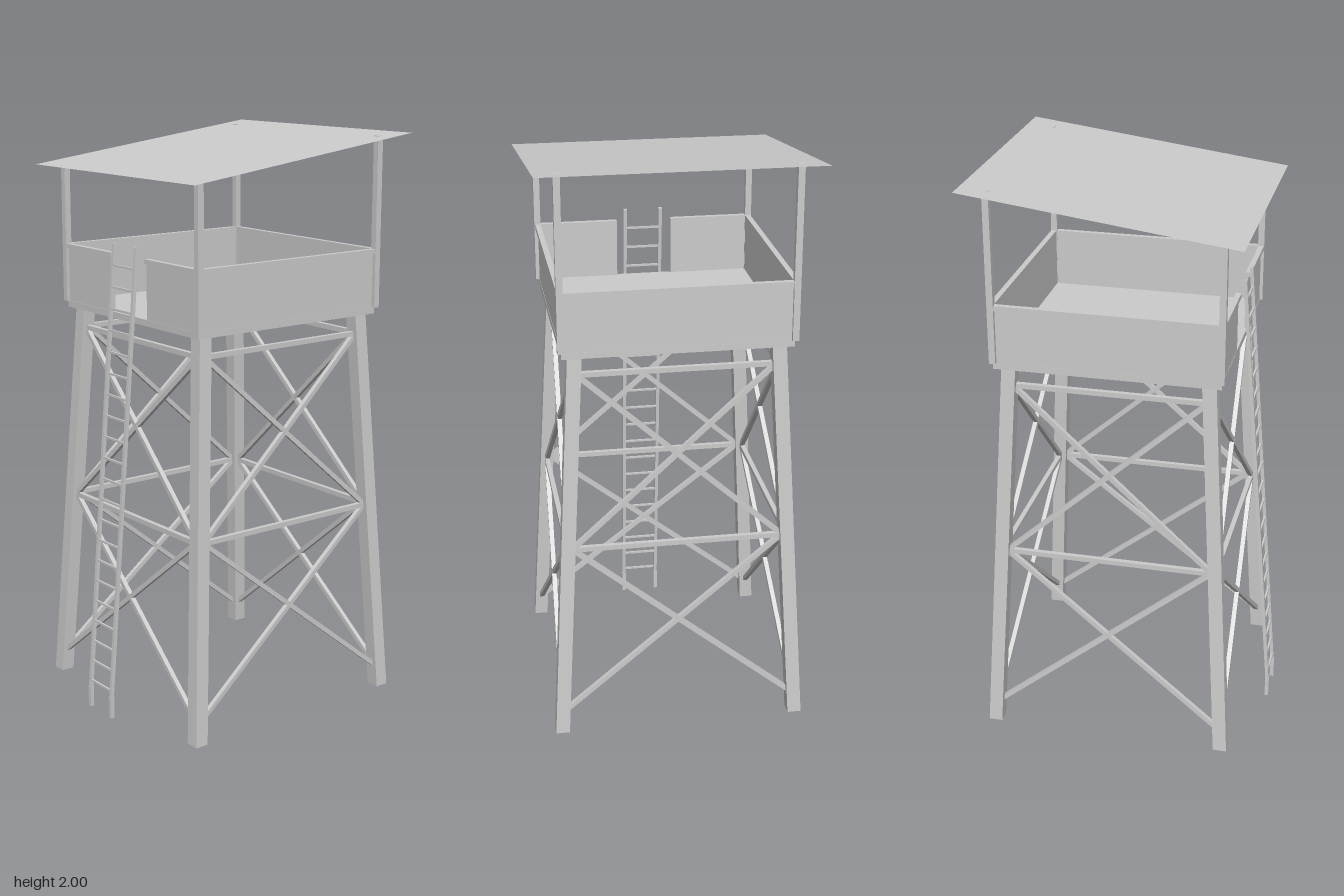
import * as THREE from 'three';

export function createModel() {
  const model = new THREE.Group();
  model.name = 'watchtower';
  const steel = new THREE.MeshStandardMaterial({ color: 0xcccccc });
  steel.name = 'pale grey';
  const roofSteel = steel.clone();
  roofSteel.side = THREE.DoubleSide;

  const group = (name, parent = model) => {
    const g = new THREE.Group();
    g.name = name;
    parent.add(g);
    return g;
  };
  // Axis-aligned box given by its lower and upper corners
  const box = (name, parent, a, b) => {
    const m = new THREE.Mesh(new THREE.BoxGeometry(b[0] - a[0], b[1] - a[1], b[2] - a[2]), steel);
    m.position.set((a[0] + b[0]) / 2, (a[1] + b[1]) / 2, (a[2] + b[2]) / 2);
    m.name = name;
    parent.add(m);
    return m;
  };
  // Square bar between two points
  const bar = (name, parent, a, b, size) => {
    const from = new THREE.Vector3(...a), to = new THREE.Vector3(...b);
    const m = new THREE.Mesh(new THREE.BoxGeometry(size, size, from.distanceTo(to)), steel);
    m.position.copy(from).add(to).multiplyScalar(0.5);
    m.lookAt(to);
    m.name = name;
    parent.add(m);
    return m;
  };

  // The tower stands slightly behind the origin, leaving room for the ladder
  const tower = group('tower');
  tower.position.z = -0.035;
  const legTop = 1.38;
  const legAt = y => 0.415 - y * (0.077 / legTop);

  // Legs: open square tubes leaning inwards, with level ends
  const legs = group('legs', tower);
  for (const sx of [-1, 1]) for (const sz of [-1, 1]) {
    const geo = new THREE.CylinderGeometry(0.024 * Math.SQRT2, 0.024 * Math.SQRT2, legTop, 4, 1, true).toNonIndexed();
    geo.rotateY(Math.PI / 4).translate(0, legTop / 2, 0);
    const p = geo.attributes.position;
    for (let i = 0; i < p.count; i++) {
      const c = legAt(p.getY(i));
      p.setX(i, p.getX(i) + sx * c);
      p.setZ(i, p.getZ(i) + sz * c);
    }
    geo.computeVertexNormals();
    const leg = new THREE.Mesh(geo, steel);
    leg.name = 'leg';
    legs.add(leg);
  }

  // Bracing: two horizontals and two crosses on each of the four sides
  for (let side = 0; side < 4; side++) {
    const braces = group('bracing', tower);
    braces.rotation.y = side * Math.PI / 2;
    const at = (s, y) => [s * (legAt(y) - 0.015), y, legAt(y)];
    for (const y of [0.69, 1.31]) bar('horizontalBrace', braces, at(-1, y), at(1, y), 0.017);
    for (const [low, high] of [[0.08, 0.69], [0.69, 1.305]]) {
      for (const s of [-1, 1]) bar('crossBrace', braces, at(s, low), at(-s, high), 0.016);
    }
  }

  // Platform deck
  const platform = group('platform', tower);
  box('deck', platform, [-0.383, 1.38, -0.383], [0.383, 1.402, 0.383]);

  // Parapet panels with top rails; the front one leaves a gap for the ladder
  for (let side = 0; side < 4; side++) {
    const wall = group('parapet', platform);
    wall.rotation.y = side * Math.PI / 2;
    const spans = side === 0 ? [[-0.374, -0.098], [0.098, 0.374]] : [[-0.374, 0.374]];
    for (const [x0, x1] of spans) {
      box('wallPanel', wall, [x0, 1.402, 0.374], [x1, 1.59, 0.382]);
      box('topRail', wall, [x0, 1.59, 0.373], [x1, 1.606, 0.392]);
    }
  }

  // Roof posts, taller at the back
  for (const sx of [-1, 1]) for (const sz of [-1, 1]) {
    const x = sx * 0.384, z = sz * 0.382, r = 0.011;
    box('roofPost', platform, [x - r, 1.402, z - r], [x + r, sz > 0 ? 1.882 : 1.99, z + r]);
  }

  // Thin sloping roof sheet
  const slope = Math.atan2(0.12, 0.92);
  const roof = new THREE.Mesh(new THREE.PlaneGeometry(0.92, Math.hypot(0.12, 0.92)), roofSteel);
  roof.rotation.x = -Math.PI / 2 + slope;
  roof.position.set(0, 1.94, -0.04);
  roof.name = 'roof';
  model.add(roof);

  // Leaning ladder with upright feet
  const ladder = group('ladder');
  const ladderZ = y => 0.491 - (y - 0.07) * (0.128 / 1.57);
  for (const s of [-1, 1]) {
    const x = s * 0.064;
    box('ladderFoot', ladder, [x - 0.007, 0, 0.484], [x + 0.007, 0.075, 0.498]);
    bar('ladderRail', ladder, [x, 0.06, ladderZ(0.06)], [x, 1.64, ladderZ(1.64)], 0.012);
  }
  for (let i = 0; i < 21; i++) {
    const y = 0.098 + i * 0.0735;
    bar('rung', ladder, [-0.062, y, ladderZ(y)], [0.062, y, ladderZ(y)], 0.007);
  }
  return model;
}
